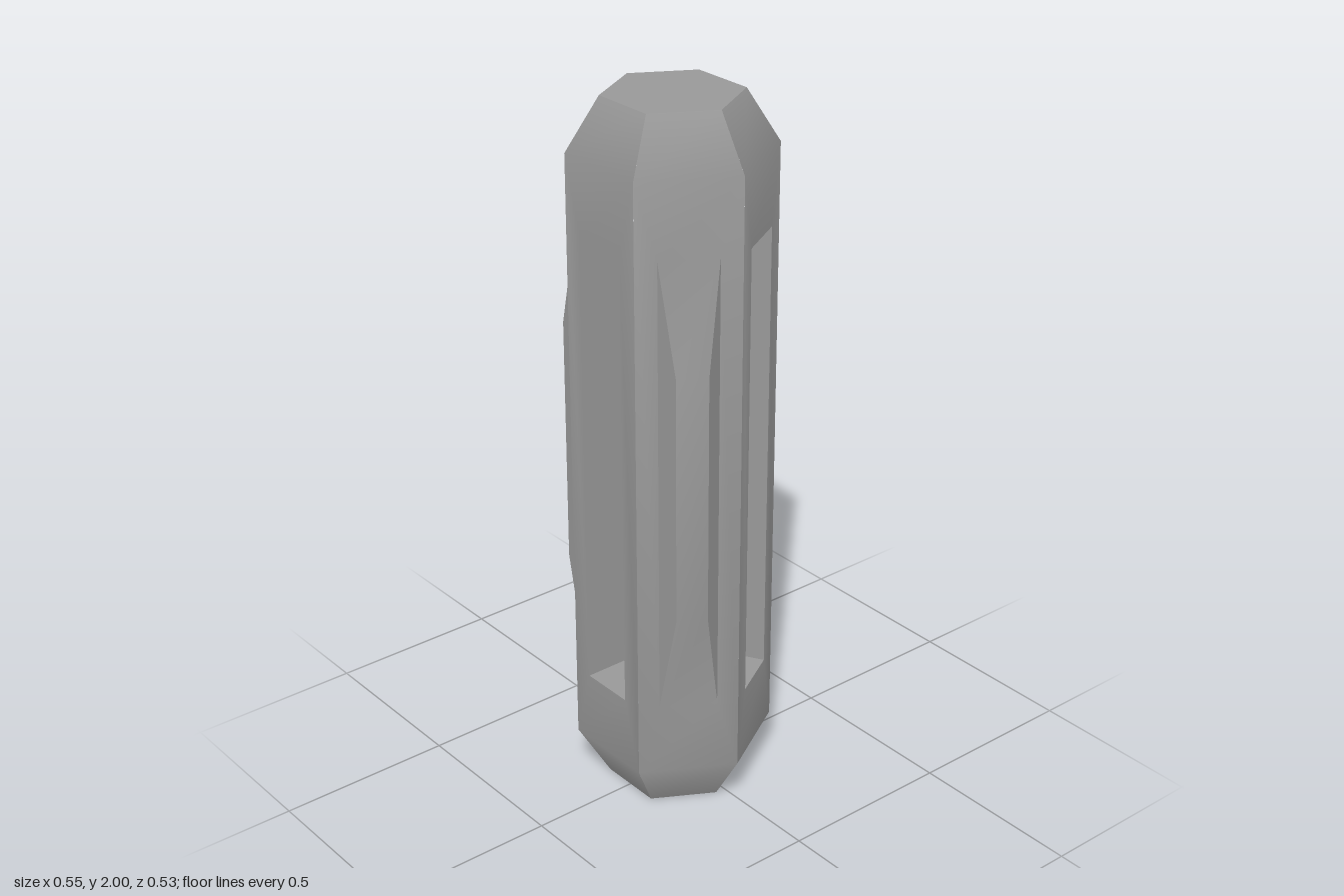
import * as THREE from 'three';
import { toCreasedNormals } from 'three/addons/utils/BufferGeometryUtils.js';

const APOTHEM = 0.237, HALF_SIDE = 0.1368;         // hexagonal body
const CAP_APOTHEM = 0.16, CAP_HALF_SIDE = 0.0924;  // flat ends
const CENTRE_Z = 0.0285;

// Corners of an upright rectangle at depth z: bottom left, bottom right, top right, top left
function rect(halfWidth, halfHeight, z) {
  return [[-1, -1], [1, -1], [1, 1], [-1, 1]].map(([sx, sy]) =>
    new THREE.Vector3(sx * halfWidth, 1 + sy * halfHeight, z));
}

// Quads between two nested rectangles
function ring(outer, inner) {
  return outer.map((p, i) => [p, outer[(i + 1) % 4], inner[(i + 1) % 4], inner[i]]);
}

function quadsToGeometry(quads) {
  const points = quads.flatMap(([a, b, c, d]) => [a, b, c, a, c, d]);
  const geometry = new THREE.BufferGeometry().setFromPoints(points);
  geometry.computeVertexNormals();
  return geometry;
}

export function createModel() {
  const model = new THREE.Group();
  model.name = 'hexagonalGrip';
  const material = new THREE.MeshStandardMaterial({ color: 0x999999 });
  const add = (name, geometry) => {
    const mesh = new THREE.Mesh(geometry, material);
    mesh.name = name;
    mesh.position.z = CENTRE_Z;
    model.add(mesh);
    return mesh;
  };

  const end = rect(CAP_HALF_SIDE, 1, CAP_APOTHEM);
  const side = rect(HALF_SIDE, 0.855, APOTHEM);
  const opening = rect(0.079, 0.647, APOTHEM);
  const ribTop = rect(0.042, 0.35, 0.2935);
  const pocketFloor = rect(0.079, 0.647, APOTHEM - 0.12);

  // Body shell: six framed sides with bevelled ends, every second one rising into a rib
  const shell = [];
  const up = new THREE.Vector3(0, 1, 0);
  for (let k = 0; k < 6; k++) {
    const quads = [
      ...ring(side, opening),
      [end[0], end[1], side[1], side[0]],
      [side[3], side[2], end[2], end[3]],
    ];
    if (k % 2) quads.push(...ring(opening, ribTop), ribTop);
    const turn = k * Math.PI / 3;
    shell.push(...quads.map(q => q.map(p => p.clone().applyAxisAngle(up, turn))));
  }
  add('bodyWithRibs', toCreasedNormals(quadsToGeometry(shell), 0.54));

  // Recessed pockets on the sides between the ribs
  const pocket = quadsToGeometry([...ring(opening, pocketFloor), pocketFloor]);
  for (let k = 0; k < 3; k++) {
    add('recessedPocket', pocket).rotation.y = k * 2 * Math.PI / 3;
  }

  // Flat hexagonal ends
  const cap = new THREE.CircleGeometry(2 * CAP_HALF_SIDE, 6);
  const topCap = add('topCap', cap);
  topCap.rotation.x = -Math.PI / 2;
  topCap.position.y = 2;
  add('bottomCap', cap).rotation.x = Math.PI / 2;

  return model;
}
